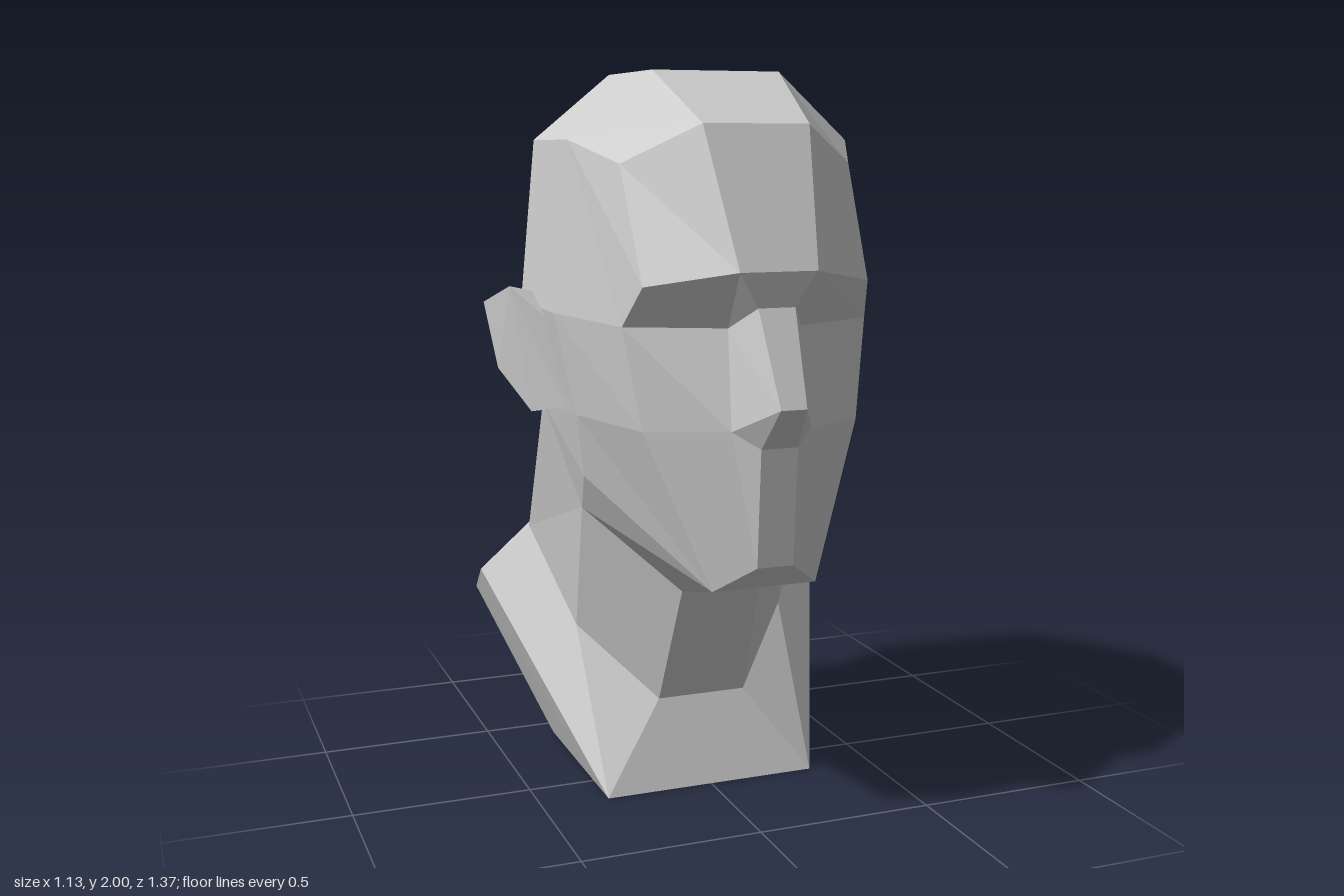
import * as THREE from 'three';

// Landmarks of the model's left half, [x, y, z]
const P = {
  // crown
  Tf: [0.18, 2, 0.165], Tb: [0.18, 2, -0.2],
  // hairline ring, front to back
  F0: [0.145, 1.86, 0.44], F1: [0.32, 1.76, 0.31], F2: [0.4, 1.82, 0.125],
  F3: [0.415, 1.82, -0.15], F4: [0.34, 1.71, -0.4], F5: [0.12, 1.82, -0.535],
  // brow and eye socket
  B0: [0.105, 1.5, 0.59], B1: [0.31, 1.46, 0.455], R: [0.05, 1.41, 0.575], E: [0.1, 1.355, 0.5],
  // eye-level ring
  G1: [0.34, 1.355, 0.38], G2: [0.445, 1.37, 0.12], G3: [0.46, 1.38, -0.145],
  G4: [0.34, 1.4, -0.475], G5: [0.11, 1.4, -0.63],
  // nose
  T: [0.035, 1.17, 0.685], W: [0.11, 1.1, 0.55], M: [0.05, 1.06, 0.6],
  // cheek-level ring
  H1: [0.3, 1.09, 0.42], H2: [0.395, 1.1, 0.16], H3: [0.415, 1.1, -0.1],
  H4: [0.315, 1.03, -0.42], H5: [0.1, 1.03, -0.5],
  // chin and jaw
  Q: [0.05, 0.75, 0.58], D: [0.145, 0.68, 0.51], A: [0.365, 0.925, 0.12],
  B: [0.335, 0.81, 0], C: [0.115, 0.6, 0.21],
  // foot of the neck
  N1: [0.13, 0.245, 0.06], N2: [0.32, 0.435, -0.12], N3: [0.4, 0.69, -0.33],
  N4: [0.29, 0.72, -0.49], N5: [0.1, 0.75, -0.56],
  // shoulders and base
  K3: [0.54, 0.56, -0.37], K4: [0.49, 0.43, -0.65], K5: [0.1, 0.49, -0.685],
  P3: [0.31, 0, 0.14], P4: [0.31, 0, -0.42],
  // ear: outer plane, then the points where it meets the skull
  a: [0.45, 1.355, 0.055], b: [0.52, 1.43, -0.04], c: [0.567, 1.38, -0.145],
  d: [0.54, 1.2, -0.105], e: [0.475, 1.09, 0], f: [0.4, 1.11, 0.085],
  bi: [0.435, 1.41, -0.06], ci: [0.455, 1.38, -0.16], ei: [0.4, 1.1, -0.1],
};

// Each part: planes of the left half, and midline strips joining both halves
const parts = {
  skull: {
    planes: ['Tf F0 F1 F2', 'Tf F2 F3 Tb', 'Tb F3 F4 F5', 'F0 B0 B1 F1', 'F1 B1 G1 G2 F2',
      'F2 G2 G3 F3', 'F3 G3 G4 F4', 'F4 G4 G5 F5', 'G3 H3 H4 G4', 'G4 H4 H5 G5'],
    strips: ['H5 G5 F5 Tb Tf F0 B0'],
  },
  face: {
    planes: ['B0 R E', 'B0 E G1 B1', 'E W H1 G1', 'M Q W', 'W Q D H1', 'G1 H1 H2 G2', 'G2 H2 H3 G3'],
    strips: ['B0 R', 'M Q D'],
  },
  nose: { planes: ['R T W E', 'T M W'], strips: ['R T M'] },
  jaw: { planes: ['H1 D A H2', 'H2 A B H3', 'A D C B'], strips: ['D C'] },
  neck: {
    planes: ['H3 B N2 N3', 'B C N1 N2', 'H3 N3 N4 H4', 'H4 N4 N5 H5'],
    strips: ['C N1', 'N5 H5'],
  },
  shoulders: {
    planes: ['N1 P3 N2', 'N2 P3 K3', 'N2 K3 N3', 'N3 K3 K4 N4', 'N4 K4 K5 N5', 'K3 P3 P4 K4', 'K4 P4 K5'],
    strips: ['N1 P3 P4 K5 N5'],
  },
};
const earPlanes = ['a f e d c b', 'b c ci bi', 'c d ei ci', 'd e ei', 'a b bi', 'e f ei'];

const material = new THREE.MeshStandardMaterial({
  color: 0xcccccc, flatShading: true, side: THREE.DoubleSide,
});
const flip = ([x, y, z]) => [-x, y, z];
const read = (text) => text.split(' ').map((key) => P[key]);
const mirrored = (poly) => poly.map(flip).reverse();

// Fan-triangulates flat planes into one faceted mesh
function facetMesh(name, polys) {
  const pos = [];
  for (const p of polys) {
    for (let i = 1; i < p.length - 1; i++) pos.push(...p[0], ...p[i], ...p[i + 1]);
  }
  const geo = new THREE.BufferGeometry();
  geo.setAttribute('position', new THREE.Float32BufferAttribute(pos, 3));
  geo.computeVertexNormals();
  const mesh = new THREE.Mesh(geo, material);
  mesh.name = name;
  return mesh;
}

export function createModel() {
  const group = new THREE.Group();
  group.name = 'headBust';

  for (const [name, { planes, strips }] of Object.entries(parts)) {
    const left = planes.map(read);
    const polys = [...left, ...left.map(mirrored)];
    for (const strip of strips) {
      const s = read(strip);
      for (let i = 0; i < s.length - 1; i++) {
        polys.push([flip(s[i]), flip(s[i + 1]), s[i + 1], s[i]]);
      }
    }
    group.add(facetMesh(name, polys));
  }

  // Ears
  const ear = earPlanes.map(read);
  group.add(facetMesh('leftEar', ear), facetMesh('rightEar', ear.map(mirrored)));
  return group;
}
